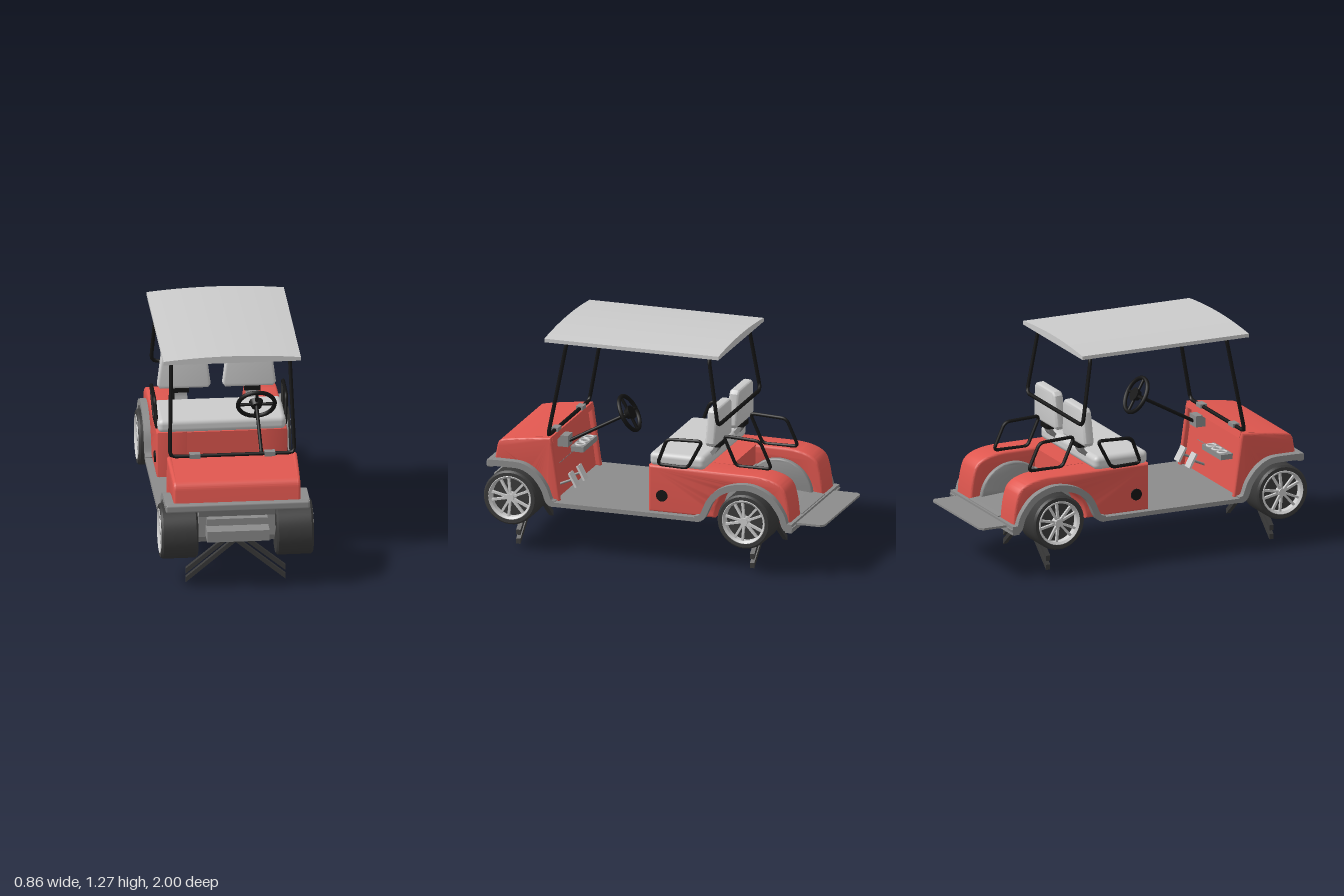
import * as THREE from 'three';
import { toCreasedNormals } from 'three/addons/utils/BufferGeometryUtils.js';
import { RoundedBoxGeometry } from 'three/addons/geometries/RoundedBoxGeometry.js';

const mat = (color) => new THREE.MeshStandardMaterial({ color, side: THREE.DoubleSide });
const grey = mat(0xcccccc), trim = mat(0x8c8c8c), red = mat(0xe0574f), black = mat(0x141414), rubber = mat(0x3a3a3a);
const V = (x, y, z) => new THREE.Vector3(x, y, z);

export function createModel() {
  const model = new THREE.Group();

  const add = (name, geo, material, parent = model) => {
    const m = new THREE.Mesh(geo, material);
    m.name = name;
    parent.add(m);
    return m;
  };
  const box = (name, x0, x1, y0, y1, z0, z1, material, round = 0) => {
    const s = [x1 - x0, y1 - y0, z1 - z0];
    const g = round ? new RoundedBoxGeometry(...s, 3, round) : new THREE.BoxGeometry(...s);
    g.translate((x0 + x1) / 2, (y0 + y1) / 2, (z0 + z1) / 2);
    return add(name, g, material);
  };
  const extrude = (shape, depth, bevel = 0) => new THREE.ExtrudeGeometry(shape, {
    depth: depth - 2 * bevel, bevelEnabled: bevel > 0, bevelSize: bevel, bevelThickness: bevel,
    bevelOffset: -bevel, bevelSegments: 4, curveSegments: 20,
  }).translate(0, 0, bevel);
  // Side profile drawn in (z, y), extruded from x0 to x1
  const side = (name, shape, x0, x1, material, bevel = 0) => {
    const g = extrude(shape, x1 - x0, bevel).rotateY(-Math.PI / 2).translate(x1, 0, 0);
    return add(name, toCreasedNormals(g, 0.6), material);
  };
  const poly = (pts) => new THREE.Shape(pts.map(([a, b]) => new THREE.Vector2(a, b)));
  // Tube along straight runs with rounded corners
  const bar = (name, pts, r, closed, bend = 0.05, material = black) => {
    const path = new THREE.CurvePath(), n = pts.length;
    let start = null, first = null;
    for (let i = 0; i < n; i++) {
      const p = pts[i];
      if (!closed && (i === 0 || i === n - 1)) {
        if (start) path.add(new THREE.LineCurve3(start, p));
        start = p;
        continue;
      }
      const a = pts[(i + n - 1) % n], b = pts[(i + 1) % n];
      const inn = p.clone().add(a.clone().sub(p).setLength(bend));
      const out = p.clone().add(b.clone().sub(p).setLength(bend));
      if (start) path.add(new THREE.LineCurve3(start, inn));
      else first = inn;
      path.add(new THREE.QuadraticBezierCurve3(inn, p, out));
      start = out;
    }
    if (closed) path.add(new THREE.LineCurve3(start, first));
    return add(name, new THREE.TubeGeometry(path, 100, r, 8, closed), material);
  };
  const rod = (name, a, b, r, material, parent = model) =>
    add(name, new THREE.TubeGeometry(new THREE.LineCurve3(a, b), 1, r, 10), material, parent);
  // Curved band of constant thickness following a side path
  const band = (pts, t) => {
    const c = new THREE.SplineCurve(pts.map(([a, b]) => new THREE.Vector2(a, b)));
    const up = [], down = [];
    for (let i = 0; i <= 40; i++) {
      const p = c.getPoint(i / 40), d = c.getTangent(i / 40);
      up.push(new THREE.Vector2(p.x - d.y * t, p.y + d.x * t));
      down.unshift(new THREE.Vector2(p.x + d.y * t, p.y - d.x * t));
    }
    return new THREE.Shape([...up, ...down]);
  };

  // Front cowl with wheel arches; the dash is set in from its rim
  const cowlShape = (inset) => {
    const s = new THREE.Shape();
    s.moveTo(0.545 + inset, 0.3);
    s.lineTo(0.592 + inset, 0.63);
    s.lineTo(0.592, 0.635);
    s.lineTo(0.6, 0.668);
    s.quadraticCurveTo(0.8, 0.65, 0.89, 0.63);
    s.quadraticCurveTo(0.915, 0.62, 0.92, 0.59);
    s.lineTo(0.935, 0.5);
    s.lineTo(0.835, 0.5);
    s.absarc(0.82, 0.31, 0.19, Math.PI / 2, Math.PI, false);
    s.lineTo(0.63, 0.3);
    return s;
  };
  side('frontCowl', cowlShape(0.03), -0.34, 0.34, red);
  for (const s of [-1, 1]) {
    const m = side('cowlCheek', cowlShape(0), Math.min(s * 0.335, s * 0.365), Math.max(s * 0.335, s * 0.365), red, 0.012);
    // Cheeks lean in toward the nose
    const p = m.geometry.attributes.position;
    for (let i = 0; i < p.count; i++) p.setX(i, p.getX(i) - s * 0.03 * Math.max(0, p.getZ(i) - 0.62));
  }

  // Front underbody, lip and bumper
  side('frontUnderbody', poly([[0.95, 0.48], [0.9, 0.42], [0.9, 0.3], [0.85, 0.25], [0.72, 0.26], [0.6, 0.29], [0.6, 0.48]]), -0.215, 0.215, trim);
  box('frontLip', -0.405, 0.405, 0.473, 0.52, 0.925, 0.967, trim, 0.012);
  box('frontBumper', -0.175, 0.175, 0.305, 0.368, 0.88, 1.0, trim);
  box('frontBumperStep', -0.17, 0.17, 0.38, 0.42, 0.88, 0.94, trim);

  // Floor pan
  box('floor', -0.405, 0.405, 0.28, 0.305, -0.29, 0.59, trim);

  // Rear body: seat base, side pods and bag well
  box('seatBase', -0.2, 0.2, 0.3, 0.57, -0.42, 0.02, red);
  for (const s of [-1, 1]) {
    const pod = new THREE.Shape();
    pod.moveTo(0.02, 0.3);
    pod.lineTo(0.02, 0.572);
    pod.lineTo(-0.6, 0.568);
    pod.quadraticCurveTo(-0.76, 0.56, -0.79, 0.49);
    pod.quadraticCurveTo(-0.815, 0.42, -0.82, 0.3);
    pod.lineTo(-0.753, 0.3);
    pod.absarc(-0.563, 0.31, 0.19, Math.PI, 0, true);
    pod.lineTo(-0.373, 0.3);
    side('rearPod', pod, s > 0 ? 0.19 : -0.367, s > 0 ? 0.367 : -0.19, red, 0.014);
    // Inner wheel housing
    const arch = new THREE.Shape();
    arch.absarc(-0.563, 0.31, 0.2, 0, Math.PI, false);
    side('wheelHousing', arch, s > 0 ? 0.165 : -0.215, s > 0 ? 0.215 : -0.165, trim, 0.01);
    // Charging port
    add('chargePort', new THREE.CylinderGeometry(0.033, 0.033, 0.012, 20).rotateZ(Math.PI / 2).translate(s * 0.368, 0.4, -0.06), black);
    // Fender trims
    const x0 = s > 0 ? 0.34 : -0.405, x1 = s > 0 ? 0.405 : -0.34;
    side('frontFender', band([[0.96, 0.5], [0.86, 0.502], [0.76, 0.497], [0.685, 0.455], [0.63, 0.385], [0.6, 0.31], [0.57, 0.295]], 0.018), x0, x1, trim);
    side('rearFender', band([[-0.27, 0.295], [-0.31, 0.315], [-0.36, 0.415], [-0.43, 0.475], [-0.53, 0.505], [-0.62, 0.5], [-0.71, 0.455], [-0.775, 0.37], [-0.8, 0.3], [-0.84, 0.285]], 0.018), x0, x1, trim);
  }
  side('bagWell', poly([[-0.41, 0.46], [-0.43, 0.46], [-0.5, 0.35], [-0.72, 0.335], [-0.83, 0.325], [-0.83, 0.305], [-0.41, 0.305]]), -0.19, 0.19, trim);
  box('rearSill', -0.405, 0.405, 0.27, 0.32, -0.84, -0.8, trim);
  const plate = poly([[-0.32, -0.82], [-0.32, -0.98], [-0.3, -1], [0.3, -1], [0.32, -0.98], [0.32, -0.82]]);
  add('rearStep', extrude(plate, 0.012).rotateX(Math.PI / 2).translate(0, 0.308, 0), trim);

  // Bench cushion, backrests and their brackets
  box('seatCushion', -0.36, 0.36, 0.565, 0.645, -0.31, 0.02, grey, 0.03);
  for (const s of [-1, 1]) {
    const back = poly([[-0.15, 0.02], [-0.135, 0], [0.135, 0], [0.15, 0.02], [0.128, 0.195], [0.108, 0.215], [-0.108, 0.215], [-0.128, 0.195]]);
    const m = add('backrest', toCreasedNormals(extrude(back, 0.06, 0.015), 0.6), grey);
    m.position.set(s * 0.183, 0.7, -0.36);
    m.rotation.x = -0.04;
    side('backrestBracket', band([[-0.26, 0.61], [-0.31, 0.635], [-0.335, 0.68], [-0.345, 0.78]], 0.012), s * 0.2 - 0.035, s * 0.2 + 0.035, trim);
    box('backrestClamp', s * 0.2 - 0.045, s * 0.2 + 0.045, 0.675, 0.7, -0.36, -0.31, black);
    // Arm rails and bag rails
    bar('armRail', [[0.36, 0.58, -0.03], [0.37, 0.735, -0.09], [0.37, 0.742, -0.3], [0.36, 0.575, -0.21]].map(([x, y, z]) => V(s * x, y, z)), 0.01, true, 0.03);
    bar('bagRail', [[0.74, -0.375], [0.73, -0.59], [0.575, -0.66], [0.572, -0.45]].map(([y, z]) => V(s * 0.225, y, z)), 0.01, true, 0.03);
  }

  // Roof: flat below, crowned above
  const roof = new THREE.Shape();
  roof.moveTo(-0.385, 1.232);
  roof.lineTo(0.385, 1.232);
  roof.lineTo(0.385, 1.253);
  roof.quadraticCurveTo(0, 1.293, -0.385, 1.253);
  add('roof', toCreasedNormals(extrude(roof, 1.03).translate(0, 0, -0.4), 0.5), grey);

  // Roof frames
  bar('frontFrame', [V(-0.35, 0.675, 0.62), V(-0.332, 1.228, 0.515), V(0.332, 1.228, 0.515), V(0.35, 0.675, 0.62)], 0.011, true, 0.03);
  bar('rearFrame', [V(-0.362, 0.84, -0.388), V(-0.335, 1.228, -0.325), V(0.335, 1.228, -0.325), V(0.362, 0.84, -0.388)], 0.011, true, 0.04);
  for (const x of [-0.21, 0.21]) box('frameClip', x - 0.03, x + 0.03, 0.66, 0.69, 0.6, 0.64, trim);

  // Steering column and wheel
  const hub = V(0.175, 0.8, 0.2), foot = V(0.175, 0.6, 0.56);
  rod('steeringColumn', hub, foot, 0.01, black);
  box('columnMount', 0.135, 0.215, 0.575, 0.64, 0.55, 0.61, trim);
  const wheel = new THREE.Group();
  wheel.name = 'steeringWheel';
  wheel.position.copy(hub);
  wheel.lookAt(foot);
  model.add(wheel);
  add('steeringRim', new THREE.TorusGeometry(0.103, 0.012, 10, 36), black, wheel);
  add('steeringHub', new THREE.CylinderGeometry(0.04, 0.028, 0.035, 20).rotateX(-Math.PI / 2), black, wheel);
  for (let i = 0; i < 4; i++) {
    const a = i * Math.PI / 2;
    rod('steeringSpoke', V(0, 0, 0), V(0.1 * Math.cos(a), 0.1 * Math.sin(a), 0), 0.009, black, wheel);
  }

  // Cup holder and pedals
  box('cupHolder', -0.23, 0.01, 0.485, 0.515, 0.53, 0.62, trim);
  for (const x of [-0.18, -0.11, -0.04])
    add('cupRing', new THREE.TorusGeometry(0.026, 0.006, 8, 20).rotateX(Math.PI / 2).translate(x, 0.517, 0.563), grey);
  for (const x of [0.1, 0.24]) {
    const p = add('pedal', new THREE.BoxGeometry(0.06, 0.09, 0.012), grey);
    p.position.set(x, 0.4, 0.505);
    p.rotation.x = 0.5;
    rod('pedalArm', V(x, 0.4, 0.51), V(x, 0.36, 0.6), 0.007, trim);
  }

  // Wheels, axles and splayed suspension arms
  const lathe = (pts) => new THREE.LatheGeometry(pts.map(([r, y]) => new THREE.Vector2(r, y)), 40).rotateZ(-Math.PI / 2);
  const tyre = toCreasedNormals(lathe([[0, -0.1], [0.145, -0.103], [0.157, -0.092], [0.157, 0.092], [0.147, 0.104], [0.122, 0.104], [0.117, 0.06], [0, 0.06]]), 0.6);
  const rim = toCreasedNormals(lathe([[0.112, 0.06], [0.112, 0.096], [0.124, 0.107], [0.128, 0.103]]), 0.6);
  for (const z of [0.82, -0.563]) {
    for (const s of [-1, 1]) {
      const w = new THREE.Group();
      w.name = 'wheel';
      w.position.set(s * 0.323, 0.313, z);
      w.rotation.y = s > 0 ? 0 : Math.PI;
      model.add(w);
      add('tyre', tyre, rubber, w);
      add('rim', rim, grey, w);
      add('wheelHub', new THREE.CylinderGeometry(0.022, 0.028, 0.04, 16).rotateZ(-Math.PI / 2).translate(0.082, 0, 0), grey, w);
      for (let i = 0; i < 10; i++) {
        const g = new THREE.BoxGeometry(0.016, 0.1, 0.013).translate(0.088, 0.066, 0);
        add('spoke', g, grey, w).rotation.x = i * Math.PI / 5 + (i % 2 ? -0.1 : 0.1);
      }
      for (const [y0, y1] of [[0.07, 0.3], [0.018, 0.25]]) {
        const arm = poly([[0, y1 - 0.016], [0.28, y0 - 0.016], [0.28, y0 + 0.014], [0, y1 + 0.014]].map(([x, y]) => [s * x, y]));
        add('suspensionArm', extrude(arm, 0.026).translate(0, 0, z - 0.013), rubber);
      }
    }
    add('axle', new THREE.CylinderGeometry(0.02, 0.02, 0.46, 14).rotateZ(Math.PI / 2).translate(0, 0.3, z), trim);
  }
  return model;
}
